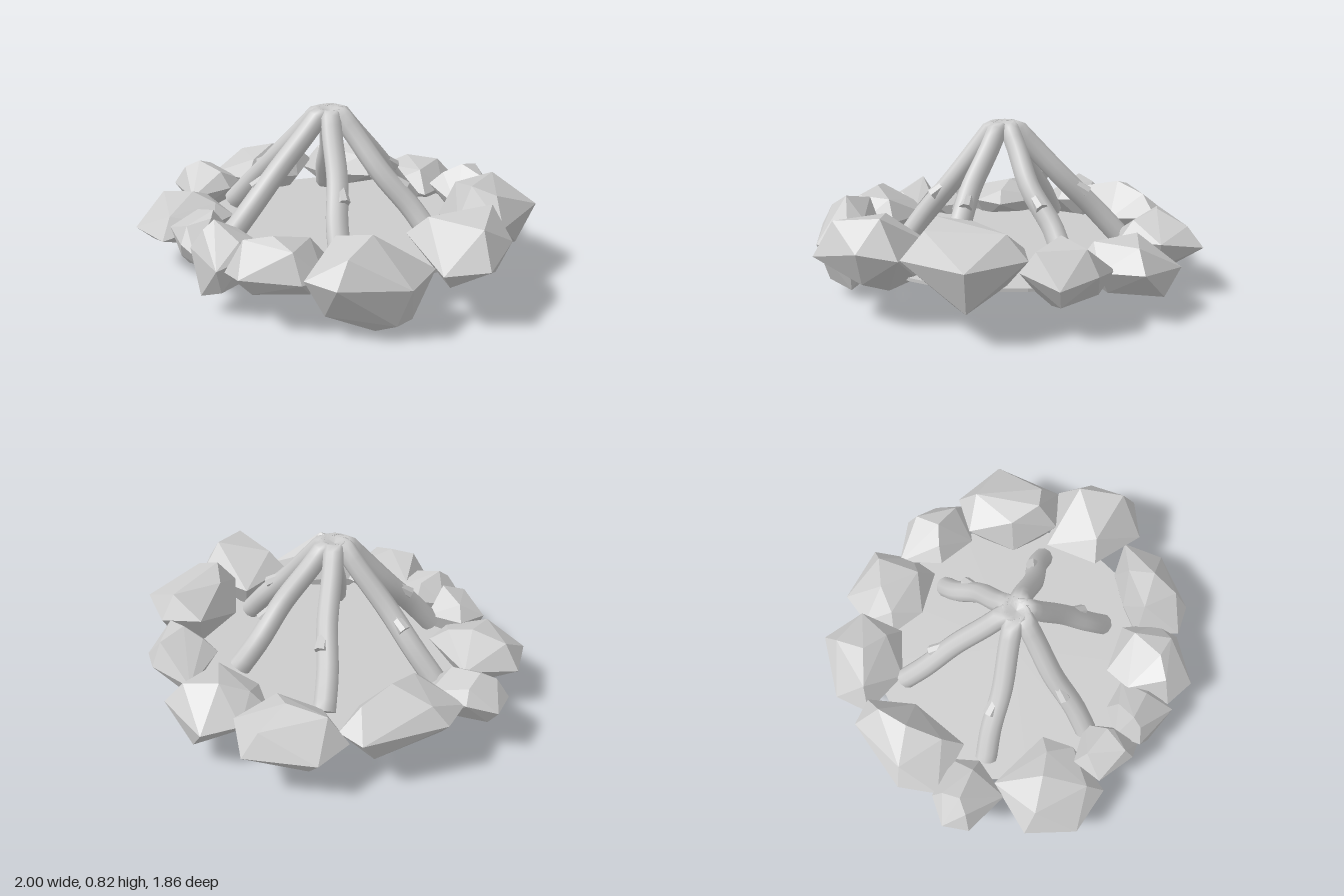
import * as THREE from 'three';
import { ConvexGeometry } from 'three/addons/geometries/ConvexGeometry.js';

const grey = new THREE.MeshStandardMaterial({ color: 0xcccccc });
const faceted = new THREE.MeshStandardMaterial({ color: 0xcccccc, flatShading: true });

let seed = 11;
function rand() {
  seed = (seed * 16807) % 2147483647;
  return seed / 2147483647;
}

function add(parent, name, geometry, material) {
  const mesh = new THREE.Mesh(geometry, material);
  mesh.name = name;
  parent.add(mesh);
  return mesh;
}

// Faceted stone: foot and peak are [x, y, z]; it is widest at its plan outline (x, z pairs)
function stone(parent, foot, peak, outline) {
  const pts = [new THREE.Vector3(...foot), new THREE.Vector3(...peak)];
  const n = outline.length / 2, y0 = foot[1], h = peak[1] - y0;
  let cx = 0, cz = 0;
  for (let i = 0; i < n; i++) { cx += outline[2 * i] / n; cz += outline[2 * i + 1] / n; }
  const ring = (i, scale, level) => pts.push(new THREE.Vector3(
    cx + (outline[2 * i] - cx) * scale, y0 + h * level, cz + (outline[2 * i + 1] - cz) * scale));
  for (let i = 0; i < n; i++) {
    ring(i, 1, 0.42 + 0.22 * rand());
    if (i % 2) ring(i, 0.64, 0.78 + 0.16 * rand());
    else ring(i, 0.68, 0.08 + 0.16 * rand());
  }
  add(parent, 'stone', new ConvexGeometry(pts), faceted);
}

// Bent log leaning from the apex out to (x, z), with a splintered branch stub
const apex = new THREE.Vector3(-0.02, 0, 0.03);
const topY = 0.82;
function log(parent, x, z, sway, knotSide) {
  const out = new THREE.Vector3(x, 0, z).sub(apex);
  const reach = out.length();
  out.normalize();
  const side = new THREE.Vector3(-out.z, 0, out.x);
  const at = (r, y, s) => apex.clone().addScaledVector(out, r).addScaledVector(side, s).setY(y);
  const curve = new THREE.CatmullRomCurve3([
    at(0, 0.85, 0), at(reach * 0.22, 0.705, 0), at(reach * 0.5, 0.525, sway),
    at(reach * 0.77, 0.36, -sway * 0.5), at(reach - 0.02, 0.23, 0),
  ]);
  const frame = (t) => {
    const T = curve.getTangentAt(t);
    const X = side.clone().addScaledVector(T, -side.dot(T)).normalize();
    const Y = T.clone().negate();
    return { P: curve.getPointAt(t), T, X, Z: X.clone().cross(Y) };
  };

  // The tops are trimmed to a shallow dish around the apex
  const g = new THREE.CylinderGeometry(0.05, 0.055, 1, 10, 16);
  const p = g.attributes.position;
  for (let i = 0; i < p.count; i++) {
    const f = frame(THREE.MathUtils.clamp(0.5 - p.getY(i), 0, 1));
    const v = f.P.addScaledVector(f.X, p.getX(i)).addScaledVector(f.Z, p.getZ(i));
    const dish = 0.795 + 0.3 * Math.hypot(v.x - apex.x, v.z - apex.z);
    p.setXYZ(i, v.x, Math.min(v.y, dish, topY), v.z);
  }
  g.computeVertexNormals();
  const group = new THREE.Group();
  group.name = 'log';
  add(group, 'logBody', g, grey);

  // Stub hugging the log, its broken end facing down the slope
  const f = frame(0.6);
  const up = f.Z.y > 0 ? f.Z : f.Z.clone().negate();
  const lift = up.multiplyScalar(0.8).addScaledVector(f.X, knotSide * 0.6);
  const dir = f.T.clone().addScaledVector(lift, 0.3).normalize();
  const stub = add(group, 'branchStub', new THREE.CylinderGeometry(0.032, 0.024, 0.14, 7), faceted);
  stub.quaternion.setFromUnitVectors(new THREE.Vector3(0, 1, 0), dir);
  stub.position.copy(f.P).addScaledVector(lift, 0.026);
  parent.add(group);
}

export function createModel() {
  const model = new THREE.Group();
  model.name = 'campfire';

  // Ash bed
  const bed = add(model, 'ashBed', new THREE.CylinderGeometry(0.71, 0.71, 0.015, 24), faceted);
  bed.position.y = 0.19;

  // Ring of stones, clockwise from the back
  const stones = new THREE.Group();
  stones.name = 'stoneRing';
  model.add(stones);
  stone(stones, [-0.4, 0.1, -0.72], [-0.37, 0.4, -0.66],
    [-0.62, -0.72, -0.36, -0.92, -0.17, -0.79, -0.17, -0.56, -0.39, -0.45, -0.63, -0.53]);
  stone(stones, [0, 0.1, -0.9], [-0.02, 0.37, -0.74],
    [-0.1, -0.93, 0.19, -0.9, 0.24, -0.7, 0.21, -0.55, -0.03, -0.51, -0.19, -0.6, -0.19, -0.77]);
  stone(stones, [0.42, 0.11, -0.57], [0.4, 0.43, -0.6],
    [0.19, -0.75, 0.41, -0.8, 0.57, -0.71, 0.62, -0.54, 0.46, -0.44, 0.25, -0.52]);
  stone(stones, [0.7, 0.12, -0.25], [0.68, 0.5, -0.14],
    [0.88, -0.46, 0.87, -0.1, 0.67, -0.03, 0.48, -0.2, 0.46, -0.45, 0.61, -0.58]);
  stone(stones, [0.75, 0.13, 0.09], [0.86, 0.5, 0.02],
    [0.57, -0.04, 0.88, -0.1, 0.98, 0.05, 1, 0.3, 0.83, 0.4, 0.55, 0.24]);
  stone(stones, [0.57, 0, 0.52], [0.57, 0.47, 0.55],
    [0.77, 0.55, 0.54, 0.77, 0.38, 0.78, 0.31, 0.58, 0.43, 0.46, 0.6, 0.35, 0.76, 0.34]);
  stone(stones, [0.12, 0.13, 0.7], [0.18, 0.43, 0.73],
    [0.05, 0.51, 0.3, 0.5, 0.4, 0.66, 0.37, 0.78, 0.15, 0.93, 0.01, 0.86, -0.01, 0.64]);
  stone(stones, [-0.16, 0.09, 0.84], [-0.17, 0.42, 0.72],
    [-0.01, 0.89, -0.25, 0.8, -0.25, 0.67, -0.13, 0.58, 0.02, 0.6, 0.04, 0.75]);
  stone(stones, [-0.42, 0.11, 0.65], [-0.27, 0.41, 0.62],
    [-0.24, 0.79, -0.32, 0.79, -0.5, 0.68, -0.46, 0.53, -0.26, 0.51, -0.21, 0.65]);
  stone(stones, [-0.62, 0.11, 0.5], [-0.6, 0.37, 0.42],
    [-0.71, 0.21, -0.4, 0.34, -0.39, 0.5, -0.52, 0.72, -0.76, 0.67, -0.87, 0.44]);
  stone(stones, [-0.86, 0.13, 0.1], [-0.86, 0.4, 0.1],
    [-1, 0.06, -0.89, -0.04, -0.69, -0.04, -0.64, 0.1, -0.75, 0.28, -0.97, 0.19]);
  stone(stones, [-0.72, 0.12, -0.25], [-0.65, 0.44, -0.28],
    [-0.72, -0.55, -0.58, -0.55, -0.5, -0.32, -0.6, 0, -0.87, -0.02, -0.92, -0.21]);

  // Six logs leaning together
  const logs = new THREE.Group();
  logs.name = 'logs';
  model.add(logs);
  log(logs, -0.4, -0.45, 0.01, 1);
  log(logs, 0.17, -0.48, 0.02, 1);
  log(logs, 0.55, -0.05, 0.015, -1);
  log(logs, 0.31, 0.41, -0.01, -1);
  log(logs, -0.28, 0.54, 0.01, 1);
  log(logs, -0.62, 0.12, -0.01, 1);

  return model;
}
